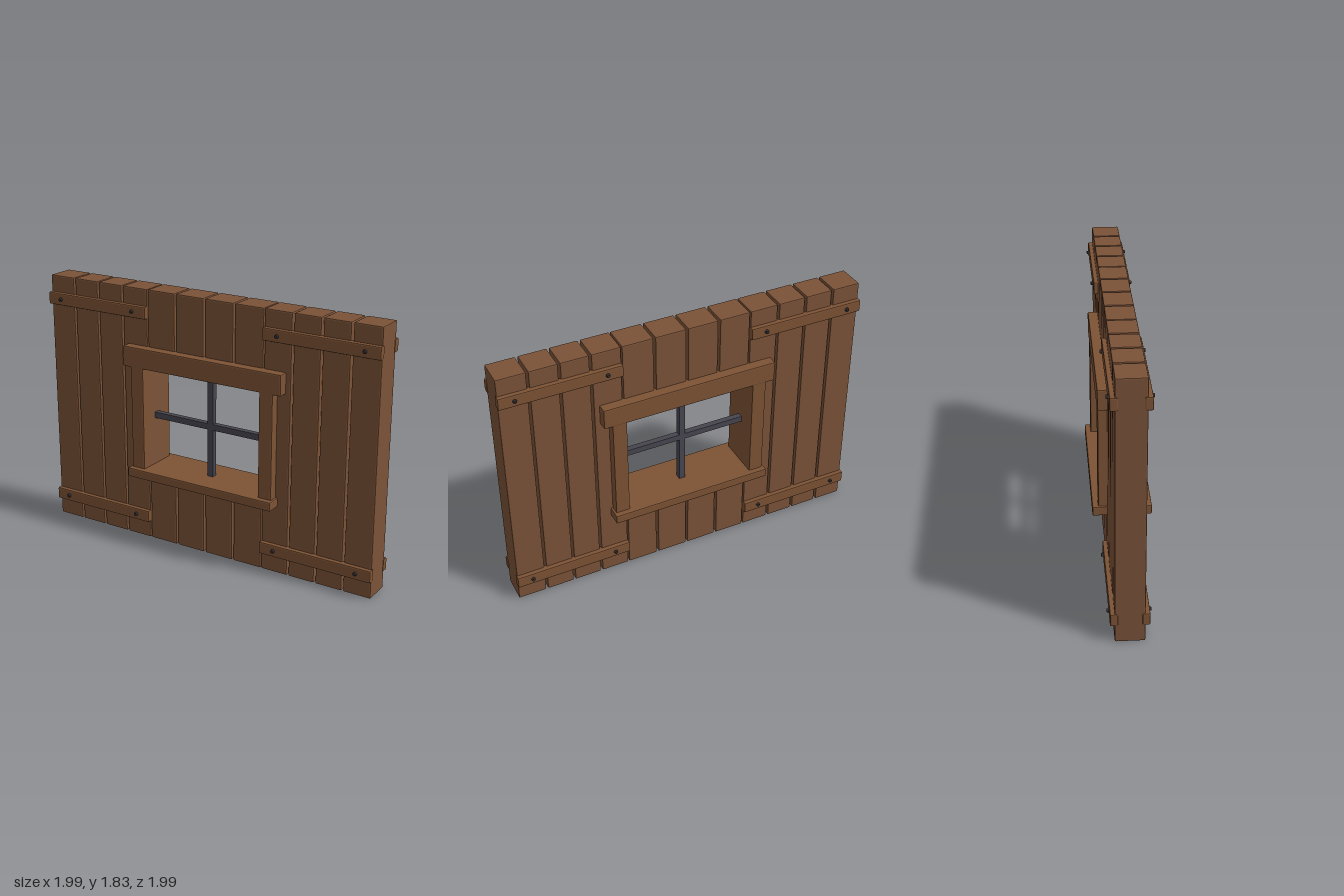
import * as THREE from 'three';
import { RoundedBoxGeometry } from 'three/addons/geometries/RoundedBoxGeometry.js';

const material = (name, color) => {
  const m = new THREE.MeshStandardMaterial({ color });
  m.name = name;
  return m;
};

export function createModel() {
  const plankWood = material('plankWood', 0x7a5238);
  const trimWood = material('trimWood', 0x7d5335);
  const iron = material('iron', 0x47454f);
  const nailIron = material('nailIron', 0x2e2c30);

  const model = new THREE.Group();
  model.name = 'wallWithWindow';
  const wall = new THREE.Group();
  wall.name = 'wall';
  wall.rotation.y = -Math.PI / 4; // the wall stands diagonally
  model.add(wall);

  const add = (name, geometry, mat, x, y, z) => {
    const mesh = new THREE.Mesh(geometry, mat);
    mesh.name = name;
    mesh.position.set(x, y, z);
    wall.add(mesh);
    return mesh;
  };

  // Chamfered beam given by its limits on each axis
  const beam = (name, mat, x0, x1, y0, y1, z0, z1, chamfer = 0.008) => {
    const geometry = new RoundedBoxGeometry(x1 - x0, y1 - y0, z1 - z0, 1, chamfer);
    geometry.computeVertexNormals(); // flat faces
    add(name, geometry, mat, (x0 + x1) / 2, (y0 + y1) / 2, (z0 + z1) / 2);
  };

  const half = 1.283, opening = 0.46, top = 1.83, depth = 0.096, gap = 0.007;
  const sillTop = 0.55, lintelBottom = 1.285;

  // Middle planks, above and below the opening
  const midStep = opening / 2;
  for (let i = -2; i < 2; i++) {
    const x0 = i * midStep + gap, x1 = (i + 1) * midStep - gap;
    beam('lowerPlank', plankWood, x0, x1, 0, sillTop - 0.03, -depth, depth);
    beam('upperPlank', plankWood, x0, x1, lintelBottom + 0.03, top, -depth, depth);
  }

  // Full-height planks, window jambs, straps and nails on each side
  const step = (half - opening) / 4;
  const span = (side, a, b) => (side > 0 ? [a, b] : [-b, -a]);
  for (const side of [-1, 1]) {
    for (let i = 0; i < 4; i++) {
      const inner = opening + i * step + (i ? gap : 0);
      const outer = opening + (i + 1) * step - (i < 3 ? gap : 0);
      beam('sidePlank', plankWood, ...span(side, inner, outer), 0, top, -depth, depth);
    }
    beam('windowJamb', trimWood, ...span(side, opening, 0.562), sillTop - 0.01, lintelBottom + 0.01, -0.158, 0.158);

    for (const face of [-1, 1]) {
      for (const y of [0.168, 1.668]) {
        beam('strap', trimWood, ...span(side, 0.458, 1.288), y - 0.043, y + 0.043,
          ...span(face, depth - 0.02, 0.126));
        for (const x of [0.566, 1.18]) {
          const nail = add('nail', new THREE.CylinderGeometry(0.011, 0.016, 0.022, 10),
            nailIron, side * x, y, face * 0.13);
          nail.rotation.x = face * Math.PI / 2;
        }
      }
    }
  }

  // Lintel and sill pass right through the wall
  beam('lintel', trimWood, -0.622, 0.622, lintelBottom, 1.43, -0.163, 0.163);
  beam('sill', trimWood, -0.578, 0.578, 0.485, sillTop, -0.196, 0.196);

  // Iron window cross
  const bar = 0.043;
  add('verticalBar', new THREE.BoxGeometry(bar, lintelBottom - sillTop, bar), iron,
    0, (lintelBottom + sillTop) / 2, 0);
  add('horizontalBar', new THREE.BoxGeometry(opening * 2, bar, bar * 0.96), iron, 0, 0.914, 0);

  return model;
}
